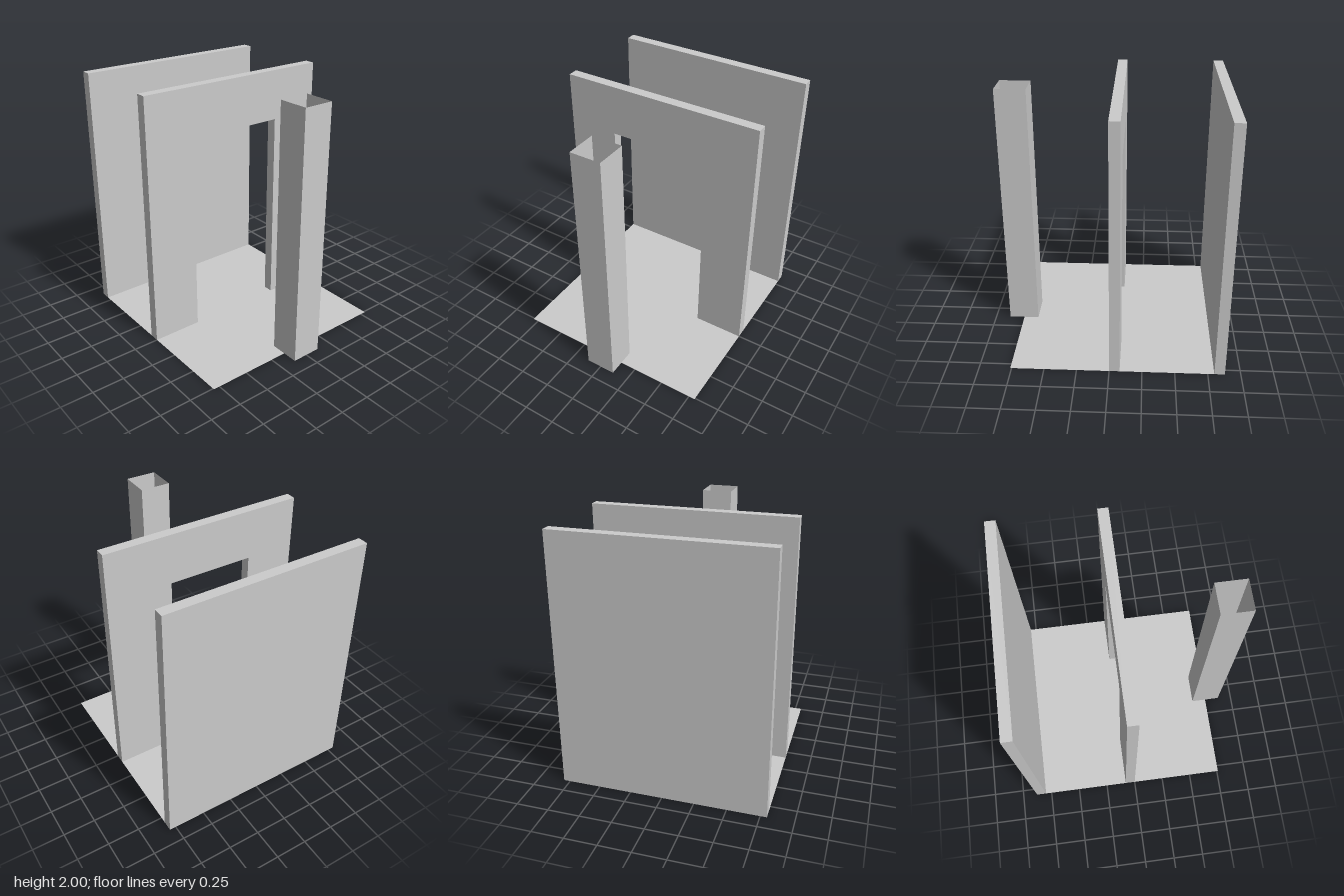
import * as THREE from 'three';

const W = 1.6, H = 2, T = 0.08;

export function createModel() {
  const group = new THREE.Group();
  const solid = new THREE.MeshStandardMaterial({ color: 0xcccccc });
  const thin = new THREE.MeshStandardMaterial({ color: 0xcccccc, side: THREE.DoubleSide });

  const add = (name, geometry, material, x, y, z) => {
    const mesh = new THREE.Mesh(geometry, material);
    mesh.name = name;
    mesh.position.set(x, y, z);
    group.add(mesh);
  };

  // Thin floor sheet, running from the back wall to the middle of the pillar
  add('floor', new THREE.PlaneGeometry(W, 1.64).rotateX(-Math.PI / 2), thin, 0, 0, -0.06);

  // Solid back wall
  add('backWall', new THREE.BoxGeometry(W, H, T), solid, 0, H / 2, -0.84);

  // Middle wall with a doorway open down to the floor
  const half = W / 2, door = 0.4, doorTop = 1.6;
  const outline = new THREE.Shape([
    [-half, 0], [-door, 0], [-door, doorTop], [door, doorTop],
    [door, 0], [half, 0], [half, H], [-half, H],
  ].map(([x, y]) => new THREE.Vector2(x, y)));
  add('doorwayWall', new THREE.ExtrudeGeometry(outline, { depth: T, bevelEnabled: false }), solid, 0, 0, -T);

  // Hollow square pillar, open at both ends, made of four thin sheets
  const side = 0.24;
  for (let i = 0; i < 4; i++) {
    const sheet = new THREE.PlaneGeometry(side, H).translate(0, 0, side / 2).rotateY(i * Math.PI / 2);
    add('pillarSide' + (i + 1), sheet, thin, 0, H / 2, 0.76);
  }

  return group;
}
